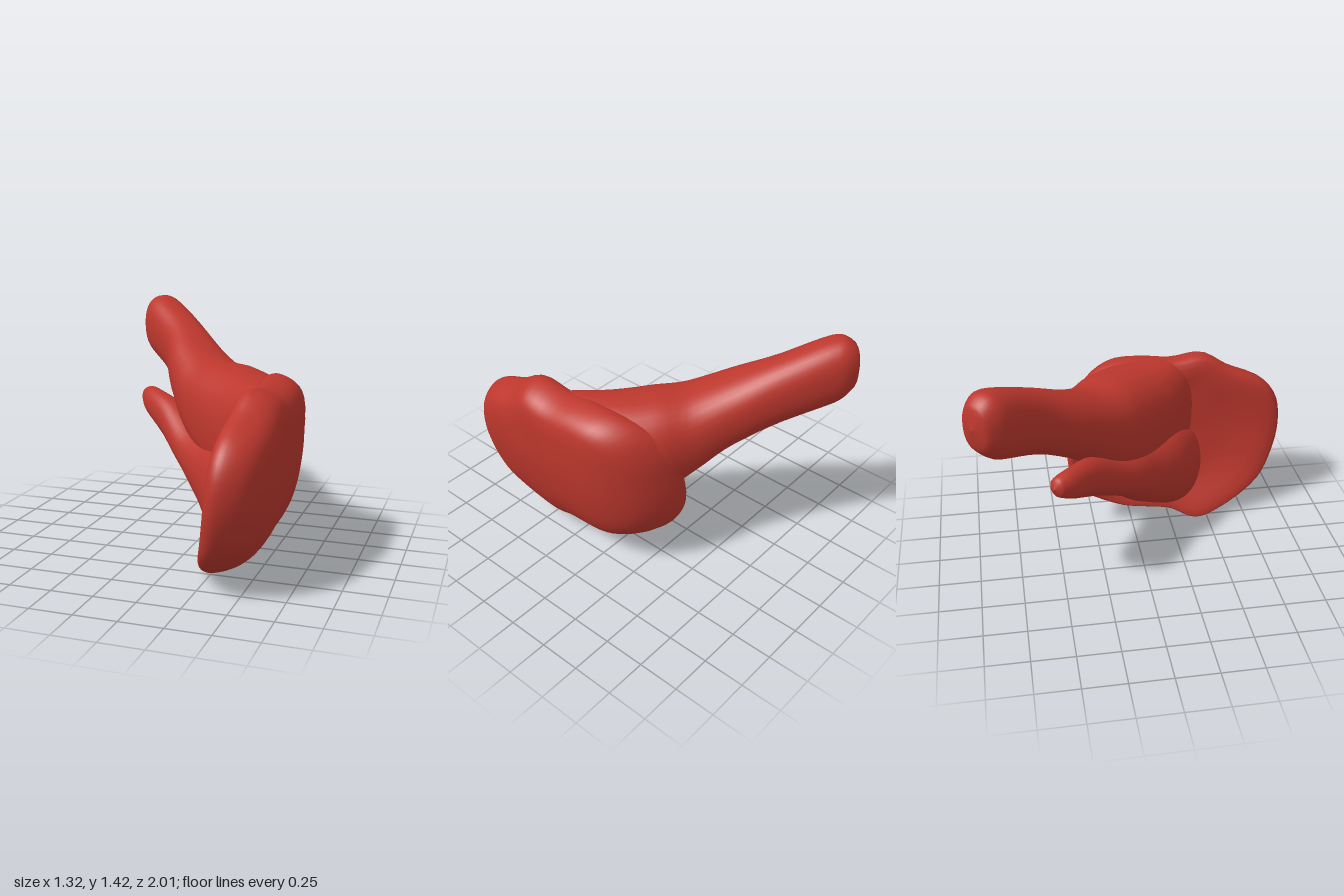
import * as THREE from 'three';

const V = (x, y, z) => new THREE.Vector3(x, y, z);

// Skin a list of closed rings (equal point counts) with smooth normals.
function skin(rings) {
  const n = rings[0].length, pts = rings.flat(), idx = [];
  for (let i = 0; i < rings.length - 1; i++) {
    for (let j = 0; j < n; j++) {
      const a = i * n + j, b = i * n + (j + 1) % n;
      idx.push(a, b, a + n, b, b + n, a + n);
    }
  }
  // Make the faces point outward, judged by signed volume.
  let volume = 0;
  const c = new THREE.Vector3();
  for (let i = 0; i < idx.length; i += 3) {
    volume += c.crossVectors(pts[idx[i]], pts[idx[i + 1]]).dot(pts[idx[i + 2]]);
  }
  if (volume < 0) idx.reverse();
  const geo = new THREE.BufferGeometry().setFromPoints(pts);
  geo.setIndex(idx);
  geo.computeVertexNormals();
  return geo;
}

// Tapering limb along the x = z diagonal. Each upright section is
// [distance along, front side, back side, bottom, top]; the sides are
// measured across the diagonal. Lower roundness gives squarer sections.
function limb(sections, roundness, steps = 48, sides = 36) {
  const middle = new THREE.CatmullRomCurve3(
    sections.map(([s, f, b, lo, hi]) => V(s, (f + b) / 2, (lo + hi) / 2)));
  const size = new THREE.CatmullRomCurve3(
    sections.map(([s, f, b, lo, hi]) => V(s, (b - f) / 2, (hi - lo) / 2)), false, 'catmullrom', 0.4);
  const round = v => Math.sign(v) * Math.abs(v) ** roundness;
  const rings = [];
  for (let i = 0; i <= steps; i++) {
    const m = middle.getPoint(i / steps), r = size.getPoint(i / steps);
    const ring = [];
    for (let j = 0; j < sides; j++) {
      const a = j / sides * Math.PI * 2;
      const w = m.y + round(Math.cos(a)) * Math.max(r.y, 0);
      const y = m.z + round(Math.sin(a)) * Math.max(r.z, 0);
      ring.push(V((m.x + w) * Math.SQRT1_2, y, (m.x - w) * Math.SQRT1_2));
    }
    rings.push(ring);
  }
  return skin(rings);
}

// Thick rounded pad: an outline in z and y, swelling from a flat inner face
// to the outer face, leaning in at the foot and curling in at the rear.
function pad() {
  const outline = [
    [0.42, 0], [0.6, 0.05], [0.86, 0.21], [0.95, 0.36], [1, 0.56], [0.98, 0.75],
    [0.88, 0.88], [0.66, 0.98], [0.5, 1.07], [0.3, 1.05], [0.08, 1.07], [-0.12, 1.06],
    [-0.28, 0.98], [-0.37, 0.85], [-0.4, 0.7], [-0.41, 0.5], [-0.38, 0.37], [-0.3, 0.25],
    [-0.08, 0.12], [0.1, 0.09], [0.25, 0.07],
  ];
  const edge = new THREE.CatmullRomCurve3(outline.map(([z, y]) => V(0, y, z)), true).getPoints(72).slice(0, -1);
  const swell = new THREE.CatmullRomCurve3([
    [0, 0], [0.5, 0], [0.95, -0.01], [1, 0.045], [0.98, 0.11], [0.91, 0.185], [0.78, 0.24], [0.4, 0.275], [0, 0.28],
  ].map(([s, x]) => V(s, x, 0))).getPoints(32);
  const lean = new THREE.CatmullRomCurve3([
    [0, 0.19], [0.27, 0.31], [0.54, 0.365], [0.81, 0.39], [1.08, 0.42],
  ].map(([y, x]) => V(x, y, 0)));
  const rings = swell.map(({ x: s, y: thick }) => edge.map(p => {
    const y = 0.55 + (p.y - 0.55) * s, z = 0.28 + (p.z - 0.28) * s;
    const base = lean.getPoint(THREE.MathUtils.clamp(y / 1.08, 0, 1)).x;
    return V(base + thick - 1.1 * Math.min(0, z) ** 2, y, z);
  }));
  return skin(rings);
}

export function createModel() {
  const red = new THREE.MeshStandardMaterial({ color: 0xbc372d });
  red.name = 'clay red';
  const group = new THREE.Group();
  group.name = 'prongedPad';
  const add = (name, geo) => {
    const mesh = new THREE.Mesh(geo, red);
    mesh.name = name;
    group.add(mesh);
  };

  add('pad', pad());

  // Large upper prong, swelling into the body that runs flush into the pad
  add('upperProng', limb([
    [-1.12, 0.24, 0.24, 1.24, 1.24],
    [-1.09, 0.15, 0.33, 1.11, 1.37],
    [-0.99, 0.1, 0.38, 1.02, 1.42],
    [-0.67, 0.09, 0.4, 0.9, 1.3],
    [-0.4, 0.01, 0.42, 0.75, 1.18],
    [-0.18, -0.03, 0.46, 0.58, 1.1],
    [0.05, -0.04, 0.52, 0.42, 1.09],
    [0.3, -0.04, 0.51, 0.35, 1.07],
    [0.5, -0.03, 0.33, 0.35, 1.05],
    [0.62, 0, 0.2, 0.4, 0.98],
    [0.68, 0.1, 0.1, 0.7, 0.7],
  ], 0.85));

  // Slim lower prong, spreading into a tall web at its root
  add('lowerProng', limb([
    [-0.77, 0.01, 0.01, 0.79, 0.79],
    [-0.74, -0.04, 0.06, 0.73, 0.845],
    [-0.64, -0.07, 0.07, 0.675, 0.86],
    [-0.43, -0.07, 0.12, 0.575, 0.82],
    [-0.14, -0.08, 0.22, 0.41, 0.69],
    [0.1, -0.09, 0.3, 0.23, 0.68],
    [0.36, -0.13, 0.2, 0.11, 0.67],
    [0.56, -0.1, 0.1, 0.12, 0.58],
    [0.68, 0, 0, 0.38, 0.38],
  ], 0.95));

  return group;
}
